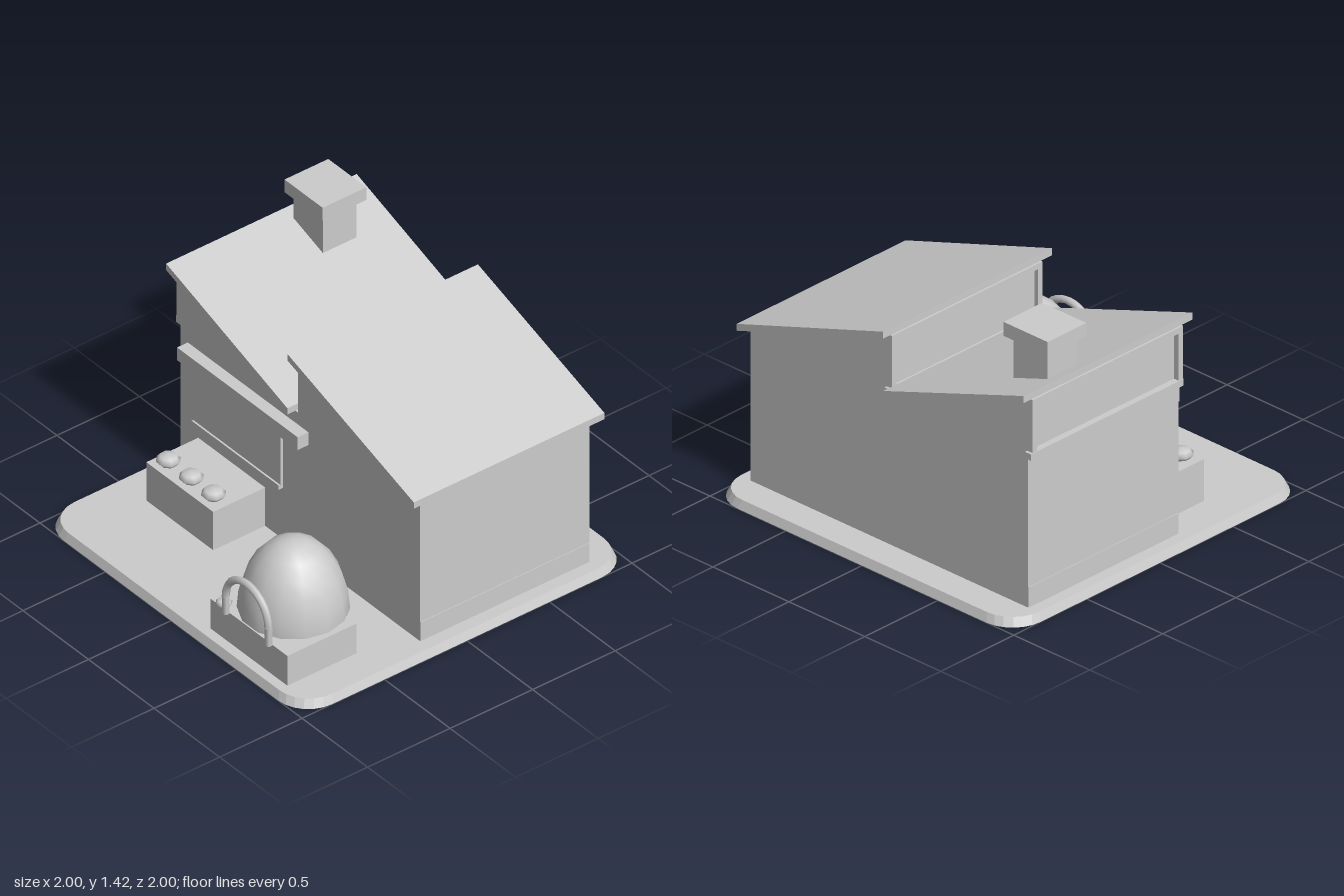
import * as THREE from 'three';

export function createModel() {
  const model = new THREE.Group();
  model.name = 'bakery';
  const plaster = new THREE.MeshStandardMaterial({ color: 0xcccccc });
  plaster.name = 'light grey';

  const add = (name, geometry, x = 0, y = 0, z = 0) => {
    const mesh = new THREE.Mesh(geometry, plaster);
    mesh.name = name;
    mesh.position.set(x, y, z);
    model.add(mesh);
    return mesh;
  };
  // Box given by its limits on each axis
  const box = (name, x0, x1, y0, y1, z0, z1) =>
    add(name, new THREE.BoxGeometry(x1 - x0, y1 - y0, z1 - z0), (x0 + x1) / 2, (y0 + y1) / 2, (z0 + z1) / 2);
  // Front-facing outline extruded between two depths
  const prism = (name, points, z0, z1) => {
    const shape = new THREE.Shape(points.map(([x, y]) => new THREE.Vector2(x, y)));
    return add(name, new THREE.ExtrudeGeometry(shape, { depth: z1 - z0, bevelEnabled: false }), 0, 0, z0);
  };

  // Ground slab: rounded square, drawn in slightly at the top
  const r = 0.18;
  const outline = new THREE.Shape();
  [[1, 1, 0], [-1, 1, 1], [-1, -1, 2], [1, -1, 3]].forEach(([sx, sy, q]) =>
    outline.absarc(sx * (1 - r), sy * (1 - r), r, q * Math.PI / 2, (q + 1) * Math.PI / 2, false));
  const slab = new THREE.ExtrudeGeometry(outline, { depth: 0.045, bevelEnabled: false, curveSegments: 3 });
  slab.rotateX(-Math.PI / 2);
  const p = slab.attributes.position;
  for (let i = 0; i < p.count; i++) {
    if (p.getY(i) > 0.02) p.setXYZ(i, p.getX(i) * 0.982, p.getY(i), p.getZ(i) * 0.982);
  }
  slab.computeVertexNormals();
  add('groundSlab', slab);

  // Walls with a sawtooth top, and a plinth
  prism('walls', [
    [-0.915, 0.045], [0.91, 0.045], [0.91, 0.855], [0.005, 1.175],
    [0.005, 0.855], [-0.025, 0.855], [-0.915, 1.175],
  ], -0.815, 0.215);
  box('plinth', -0.919, 0.914, 0.045, 0.155, -0.81, 0.21);

  // Two sloped roofs, each with a framed window band under its high edge
  [[-0.95, -0.025], [-0.025, 0.94]].forEach(([x0, x1], i) => {
    prism('roof', [[x0, 1.187], [x1, 0.868], [x1, 0.905], [x0, 1.225]], -0.88, 0.275);
    const f0 = x0 + 0.004, f1 = x0 + 0.04;
    box('windowBandSill', i ? f0 : f0 - 0.004, f1, 0.855, 0.89, -0.83, 0.215);
    box('windowBandHead', f0, f1, 1.145, 1.175, -0.815, 0.215);
    box('windowBandPost', f0, f1, 0.855, 1.175, -0.815, -0.785);
    box('windowBandPost', f0, f1, 0.855, 1.175, 0.185, 0.215);
  });

  // Chimney
  box('chimneyStack', -0.885, -0.66, 0.87, 1.35, -0.65, -0.445);
  box('chimneyCap', -0.915, -0.625, 1.35, 1.425, -0.68, -0.415);

  // Shop window and beam above it
  box('shopWindow', -0.8, -0.135, 0.345, 0.69, 0.21, 0.23);
  box('shopWindowSill', -0.8, -0.135, 0.345, 0.37, 0.21, 0.24);
  box('awningBeam', -0.86, 0.06, 0.71, 0.785, 0.21, 0.28);

  // Counter with loaves, plus a smaller loaf by the oven
  box('counter', -0.78, -0.27, 0.045, 0.27, 0.215, 0.53);
  const loaf = (x, y, z, radius) => {
    const mesh = add('loaf', new THREE.SphereGeometry(radius, 8, 4), x, y, z);
    mesh.scale.y = 0.5;
    mesh.rotation.y = Math.PI / 8;
  };
  [-0.7, -0.525, -0.355].forEach((x) => loaf(x, 0.3, 0.46, 0.062));
  loaf(0.297, 0.24, 0.915, 0.042);

  // Domed oven on its base
  box('ovenBase', 0.215, 0.8, 0.045, 0.22, 0.51, 0.93);
  const dome = add('ovenDome', new THREE.SphereGeometry(0.27, 14, 6, 0, Math.PI * 2, 0, Math.PI / 2), 0.505, 0.21, 0.66);
  dome.scale.y = 1.49;
  const floor = add('ovenFloor', new THREE.CircleGeometry(0.27, 14), 0.505, 0.21, 0.66);
  floor.rotation.x = Math.PI / 2;

  // Arch around the oven mouth
  add('ovenArch', new THREE.TorusGeometry(0.163, 0.02, 6, 14, Math.PI), 0.508, 0.318, 0.942);
  [-1, 1].forEach((s) =>
    add('ovenArchLeg', new THREE.CylinderGeometry(0.02, 0.02, 0.1, 6), 0.508 + s * 0.163, 0.268, 0.942));

  return model;
}
